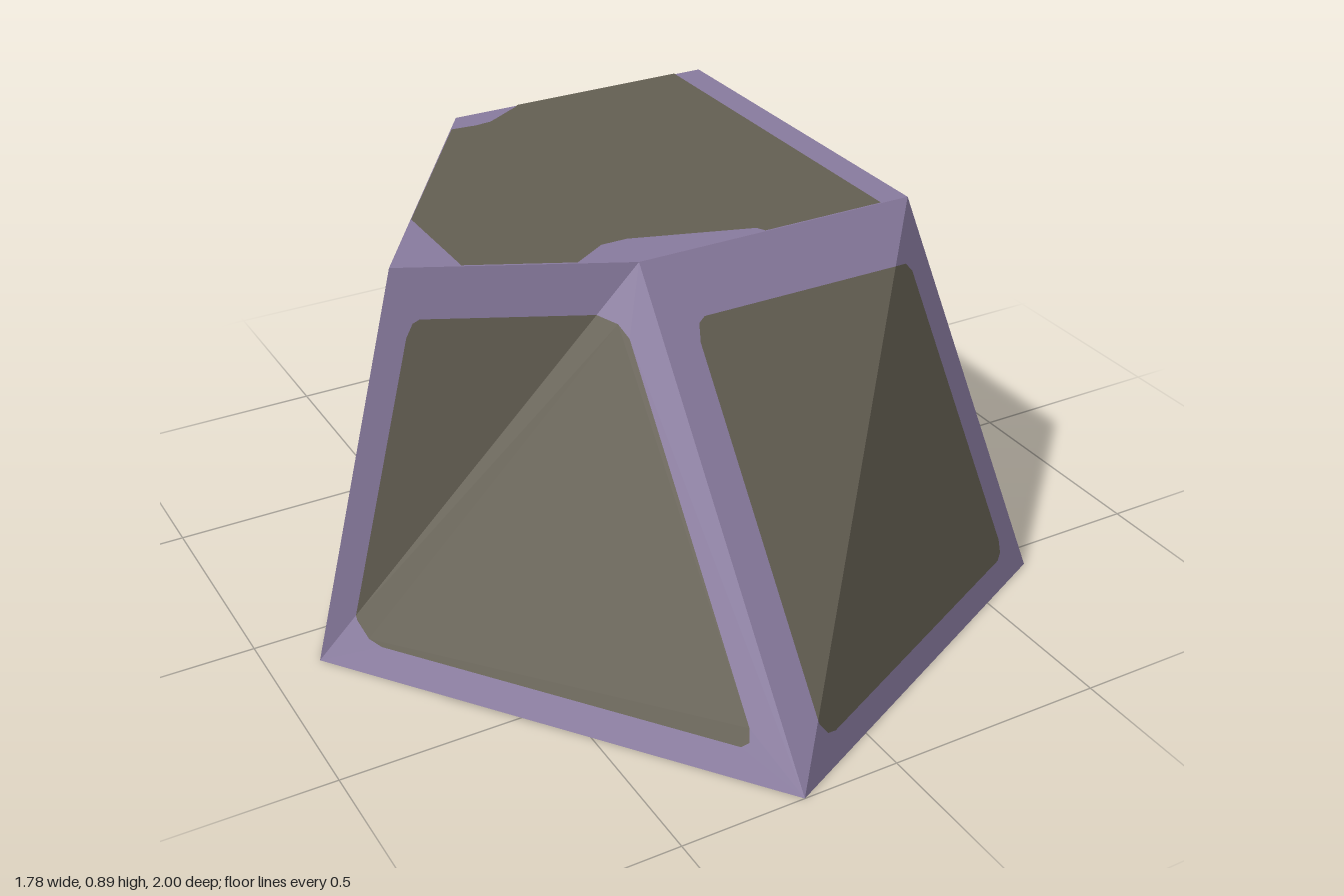
import * as THREE from 'three';

const H = 0.89;
// Ring corners as [x, z], counter-clockwise seen from above
const base = [[-0.22, 1], [0.67, 0.56], [0.89, -0.56], [-0.22, -1], [-0.89, 0.11]];
const top = [[-0.22, 0.33], [0.44, 0.33], [0.44, -0.56], [-0.22, -0.56], [-0.67, 0.11]];

// Panel outline in unit face coordinates, cut along the fold of the face
const lowerPanel = [[0.12, 0.12], [0.12, 0.11], [0.135, 0.077], [0.16, 0.067], [0.9, 0.067],
  [0.92, 0.08], [0.93, 0.11], [0.93, 0.84], [0.915, 0.865], [0.875, 0.875]];
const upperPanel = [[0.875, 0.875], [0.16, 0.875], [0.135, 0.865], [0.12, 0.83], [0.12, 0.12]];
// What remains of each triangle around its half of the panel
const lowerFrame = [[0, 0], [1, 0], [1, 1], ...[...lowerPanel].reverse()];
const upperFrame = [[0, 0], ...[...upperPanel].reverse(), [1, 1], [0, 1]];

// Inlays of the flat caps as [x, z]
const topInlay = [[-0.54, -0.08], [-0.26, -0.495], [-0.2, -0.49], [-0.16, -0.495], [-0.07, -0.55],
  [-0.06, -0.56], [0.37, -0.56], [0.37, 0.33], [0.08, 0.33], [0.07, 0.31], [-0.19, 0.225],
  [-0.25, 0.225], [-0.33, 0.275], [-0.54, 0.173]];
const bottomInlay = [[0.58, 0.6], [-0.04, 0.91], [-0.13, 0.88], [-0.3, 0.89], [-0.71, 0.355],
  [-0.63, 0.03], [-0.7, -0.2], [-0.39, -0.72], [0.324, -0.784], [0.82, -0.59]];

const shapeOf = (pts) => new THREE.Shape(pts.map(([x, y]) => new THREE.Vector2(x, y)));

// Flat piece of a side: outline in unit coordinates mapped onto one folded half
function facePiece(pts, p0, p1, q0, q1) {
  const geo = new THREE.ShapeGeometry(shapeOf(pts));
  const pos = geo.attributes.position;
  const diagonal = q1.clone().sub(p0);
  const bottomEdge = p1.clone().sub(p0);
  const leftEdge = q0.clone().sub(p0);
  const isLower = pts === lowerPanel || pts === lowerFrame;
  for (let i = 0; i < pos.count; i++) {
    const u = pos.getX(i), v = pos.getY(i);
    const p = p0.clone().addScaledVector(diagonal, Math.min(u, v));
    p.addScaledVector(isLower ? bottomEdge : leftEdge, Math.abs(u - v));
    pos.setXYZ(i, p.x, p.y, p.z);
  }
  geo.computeVertexNormals();
  return geo;
}

// Horizontal cap facing up or down
function cap(pts, y, up) {
  const geo = new THREE.ShapeGeometry(shapeOf(pts.map(([x, z]) => [x, up ? -z : z])));
  geo.rotateX(up ? -Math.PI / 2 : Math.PI / 2);
  return geo.translate(0, y, 0);
}

export function createModel() {
  const purple = new THREE.MeshStandardMaterial({ color: 0x8a7ca0 });
  purple.name = 'dusty purple';
  const olive = new THREE.MeshStandardMaterial({ color: 0x656053 });
  olive.name = 'olive grey';

  const model = new THREE.Group();
  model.name = 'tapered block';
  const add = (parent, geo, mat, name) => {
    const mesh = new THREE.Mesh(geo, mat);
    mesh.name = name;
    parent.add(mesh);
  };

  // Five folded sides, each a border around a rounded panel
  const at = (ring, i, y) => new THREE.Vector3(ring[i % 5][0], y, ring[i % 5][1]);
  ['frontLeft', 'left', 'back', 'backRight', 'frontRight'].forEach((name, i) => {
    const corners = [at(base, i, 0), at(base, i + 1, 0), at(top, i, H), at(top, i + 1, H)];
    const side = new THREE.Group();
    side.name = name + 'Side';
    add(side, facePiece(lowerFrame, ...corners), purple, 'lowerBorder');
    add(side, facePiece(upperFrame, ...corners), purple, 'upperBorder');
    add(side, facePiece(lowerPanel, ...corners), olive, 'lowerPanel');
    add(side, facePiece(upperPanel, ...corners), olive, 'upperPanel');
    model.add(side);
  });

  // Top and underside with their inlays
  add(model, cap(top, H, true), purple, 'topBorder');
  add(model, cap(topInlay, H + 0.002, true), olive, 'topPanel');
  add(model, cap(base, 0.002, false), purple, 'bottomBorder');
  add(model, cap(bottomInlay, 0, false), olive, 'bottomPanel');
  return model;
}
